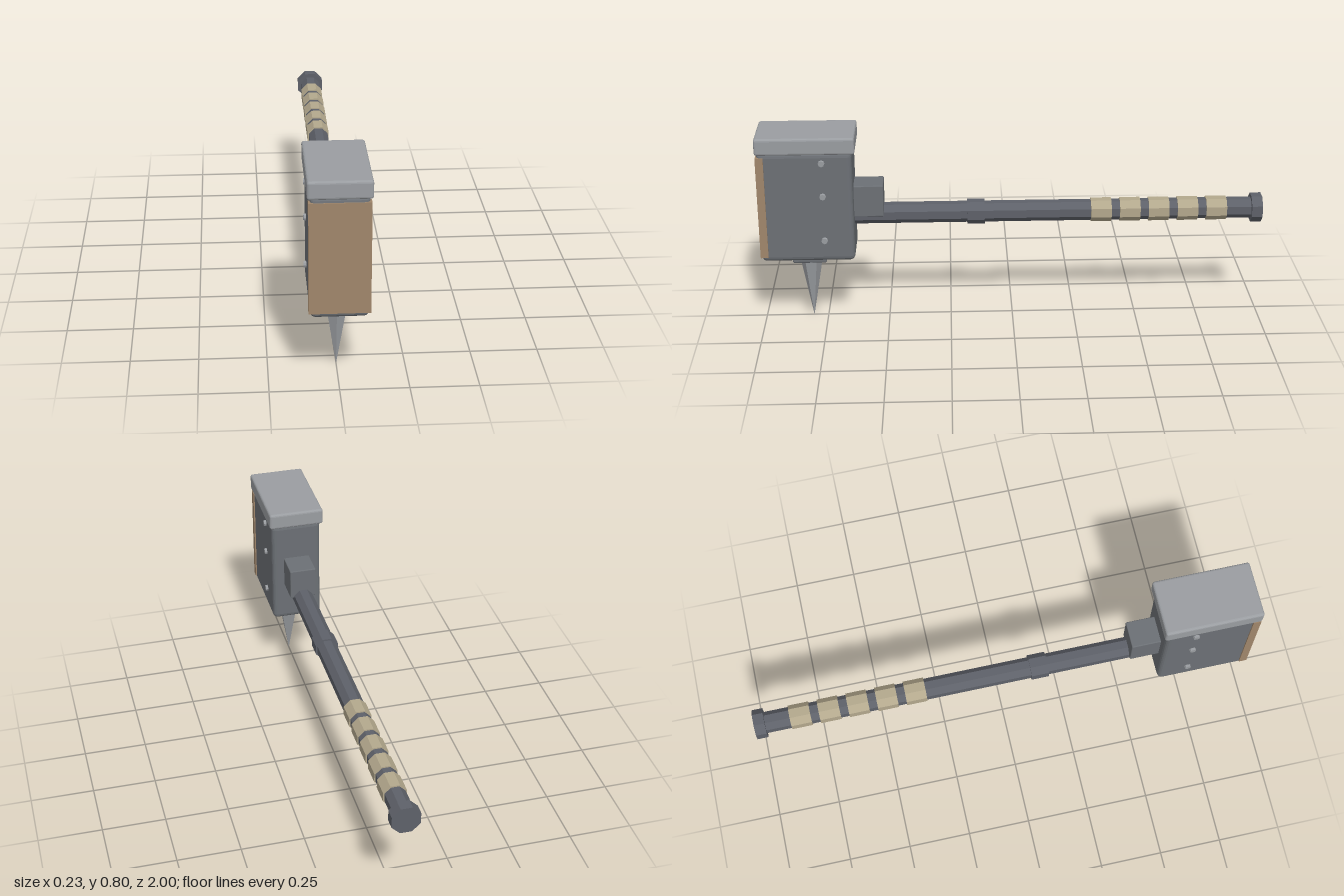
import * as THREE from 'three';
import { RoundedBoxGeometry } from 'three/addons/geometries/RoundedBoxGeometry.js';

export function createModel() {
  const model = new THREE.Group();
  model.name = 'spikedHammer';

  const mat = (name, color) => {
    const m = new THREE.MeshStandardMaterial({ color, flatShading: true });
    m.name = name;
    return m;
  };
  const darkSteel = mat('darkSteel', 0x6c7075);
  const shaftSteel = mat('shaftSteel', 0x5e6169);
  const lightSteel = mat('lightSteel', 0x9a9da1);
  const wood = mat('wood', 0xa0866b);
  const wrap = mat('gripWrap', 0xb3a88d);

  const add = (name, geometry, material, x, y, z) => {
    const mesh = new THREE.Mesh(geometry, material);
    mesh.name = name;
    mesh.position.set(x, y, z);
    model.add(mesh);
    return mesh;
  };

  // Box given by its limits, with softened edges when r > 0
  const block = (name, material, halfX, y0, y1, z0, z1, r = 0) => {
    const size = [halfX * 2, y1 - y0, z1 - z0];
    const g = r > 0 ? new RoundedBoxGeometry(...size, 2, r) : new THREE.BoxGeometry(...size);
    return add(name, g, material, 0, (y0 + y1) / 2, (z0 + z1) / 2);
  };

  // Head: body, striking cap, front plate, socket and spike collar
  block('headBody', darkSteel, 0.104, 0.282, 0.738, 0.626, 0.994, 0.02);
  block('headCap', lightSteel, 0.114, 0.732, 0.8, 0.613, 1.0, 0.01);
  block('frontPlate', wood, 0.109, 0.302, 0.72, 0.967, 0.998);
  block('handleSocket', darkSteel, 0.055, 0.45, 0.58, 0.51, 0.64, 0.004);
  block('spikeCollar', darkSteel, 0.068, 0.258, 0.295, 0.742, 0.878, 0.008);

  // Six-sided spike pointing down
  const spike = new THREE.ConeGeometry(0.046, 0.26, 6);
  spike.rotateX(Math.PI);
  add('spike', spike, lightSteel, 0, 0.13, 0.808);

  // Rivets on both sides
  for (const side of [-1, 1]) {
    for (const y of [0.696, 0.558, 0.372]) {
      const rivet = new THREE.CylinderGeometry(0.012, 0.015, 0.02, 8);
      rivet.rotateZ(-side * Math.PI / 2);
      add('rivet', rivet, lightSteel, side * 0.104, y, 0.743);
    }
  }

  // Octagonal bars along z; r is measured to the flat sides
  const bar = (name, material, r, z0, z1) => {
    const outer = r / Math.cos(Math.PI / 8);
    const g = new THREE.CylinderGeometry(outer, outer, z1 - z0, 8);
    g.rotateY(Math.PI / 8);
    g.rotateX(Math.PI / 2);
    return add(name, g, material, 0, 0.445, (z0 + z1) / 2);
  };
  bar('handleShaft', shaftSteel, 0.039, -0.98, 0.64);
  bar('handleRing', shaftSteel, 0.046, 0.11, 0.18);
  bar('pommel', shaftSteel, 0.054, -1.0, -0.957);
  for (let i = 0; i < 5; i++) {
    const z = -0.355 - i * 0.1155;
    bar('gripBand', wrap, 0.044, z - 0.041, z + 0.041);
  }

  return model;
}
